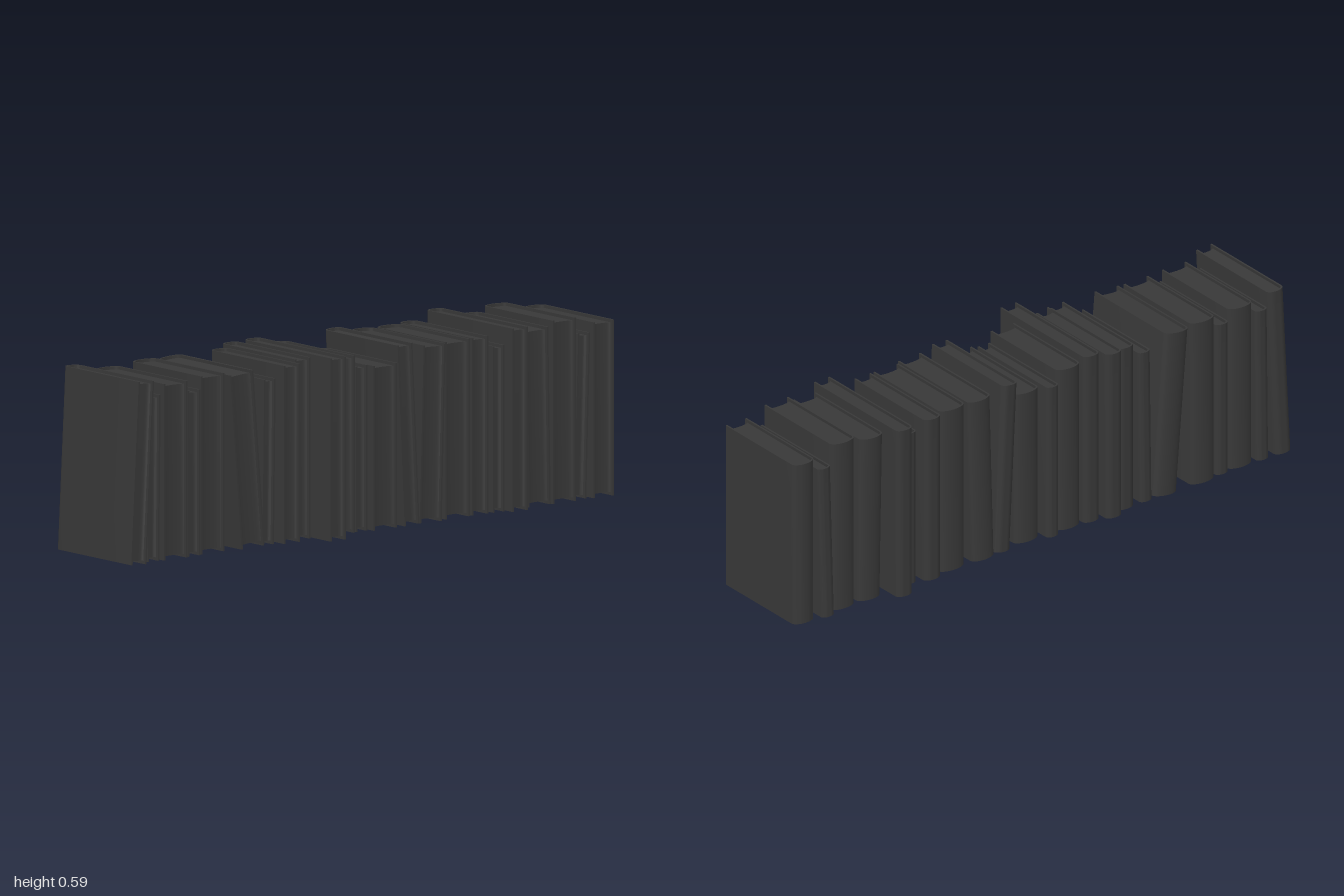
import * as THREE from 'three';
import { toCreasedNormals } from 'three/addons/utils/BufferGeometryUtils.js';

// Each book: x at foot, x at head, thickness, top height, front z, spine z
const BOOKS = [
  [-0.968, -0.937, 0.063, 0.597, 0.195, -0.19],
  [-0.888, -0.882, 0.047, 0.54, 0.17, -0.185],
  [-0.805, -0.805, 0.096, 0.575, 0.18, -0.182],
  [-0.725, -0.725, 0.05, 0.54, 0.175, -0.185],
  [-0.643, -0.643, 0.097, 0.58, 0.167, -0.195],
  [-0.49, -0.537, 0.095, 0.58, 0.182, -0.2],
  [-0.417, -0.41, 0.047, 0.54, 0.168, -0.19],
  [-0.335, -0.335, 0.066, 0.58, 0.187, -0.192],
  [-0.27, -0.27, 0.063, 0.59, 0.16, -0.217],
  [-0.195, -0.195, 0.063, 0.597, 0.248, -0.197],
  [-0.11, -0.11, 0.094, 0.577, 0.168, -0.19],
  [-0.032, -0.032, 0.047, 0.54, 0.165, -0.205],
  [0.051, 0.051, 0.096, 0.537, 0.182, -0.182],
  [0.16, 0.131, 0.061, 0.595, 0.182, -0.195],
  [0.238, 0.254, 0.09, 0.58, 0.18, -0.2],
  [0.358, 0.358, 0.1, 0.578, 0.167, -0.195],
  [0.451, 0.451, 0.066, 0.578, 0.167, -0.21],
  [0.526, 0.526, 0.046, 0.542, 0.168, -0.19],
  [0.591, 0.591, 0.063, 0.597, 0.197, -0.247],
  [0.695, 0.685, 0.092, 0.58, 0.165, -0.2],
  [0.797, 0.797, 0.095, 0.597, 0.165, -0.197],
  [0.874, 0.89, 0.049, 0.54, 0.15, -0.215],
  [0.958, 0.958, 0.084, 0.573, 0.165, -0.202],
];
const BOARD = 0.006; // cover thickness
const INSET = 0.01;  // pages sit back from the cover edges
const FOOT = 0.005;

// Points across the book from +half to -half, bulging by `bulge` beyond `base`
function arc(half, base, bulge, steps = 12) {
  return Array.from({ length: steps + 1 }, (_, i) => {
    const a = (i / steps) * Math.PI;
    return new THREE.Vector2(half * Math.cos(a), base + bulge * Math.sin(a));
  });
}

// Raises a plan outline (spine towards -z) into a solid centred on y = 0
function raise(points, height) {
  const geo = new THREE.ExtrudeGeometry(new THREE.Shape(points), { depth: height, bevelEnabled: false });
  geo.translate(0, 0, -height / 2).rotateX(-Math.PI / 2);
  return toCreasedNormals(geo, 0.6);
}

function createBook([xFoot, xHead, width, top, front, spine], material) {
  const book = new THREE.Group();
  const lean = Math.atan2(xHead - xFoot, top - FOOT);
  const height = (top - FOOT - width * Math.abs(Math.sin(lean))) / Math.cos(lean);
  const half = width / 2;
  const bulge = Math.min(width * 0.3, 0.024);
  const base = -spine - bulge;
  const inner = half - BOARD;

  // Two boards joined by a rounded spine, open at the front
  const cover = new THREE.Mesh(raise([
    new THREE.Vector2(half, -front),
    ...arc(half, base, bulge),
    new THREE.Vector2(-half, -front),
    new THREE.Vector2(-inner, -front),
    ...arc(inner, base, bulge - BOARD).reverse(),
    new THREE.Vector2(inner, -front),
  ], height), material);
  cover.name = 'cover';

  // Page block with a rounded back and a hollowed fore edge
  const pages = new THREE.Mesh(raise([
    ...arc(inner, base, bulge - BOARD),
    ...arc(inner, -front + INSET, 0.008, 8).reverse(),
  ], height - 2 * INSET), material);
  pages.name = 'pages';

  book.add(cover, pages);
  book.position.set((xFoot + xHead) / 2, (top + FOOT) / 2, 0);
  book.rotation.z = -lean;
  return book;
}

export function createModel() {
  const model = new THREE.Group();
  model.name = 'bookRow';
  const material = new THREE.MeshStandardMaterial({ color: 0x383838 });
  BOOKS.forEach((spec, i) => {
    const book = createBook(spec, material);
    book.name = `book${i + 1}`;
    model.add(book);
  });
  return model;
}
